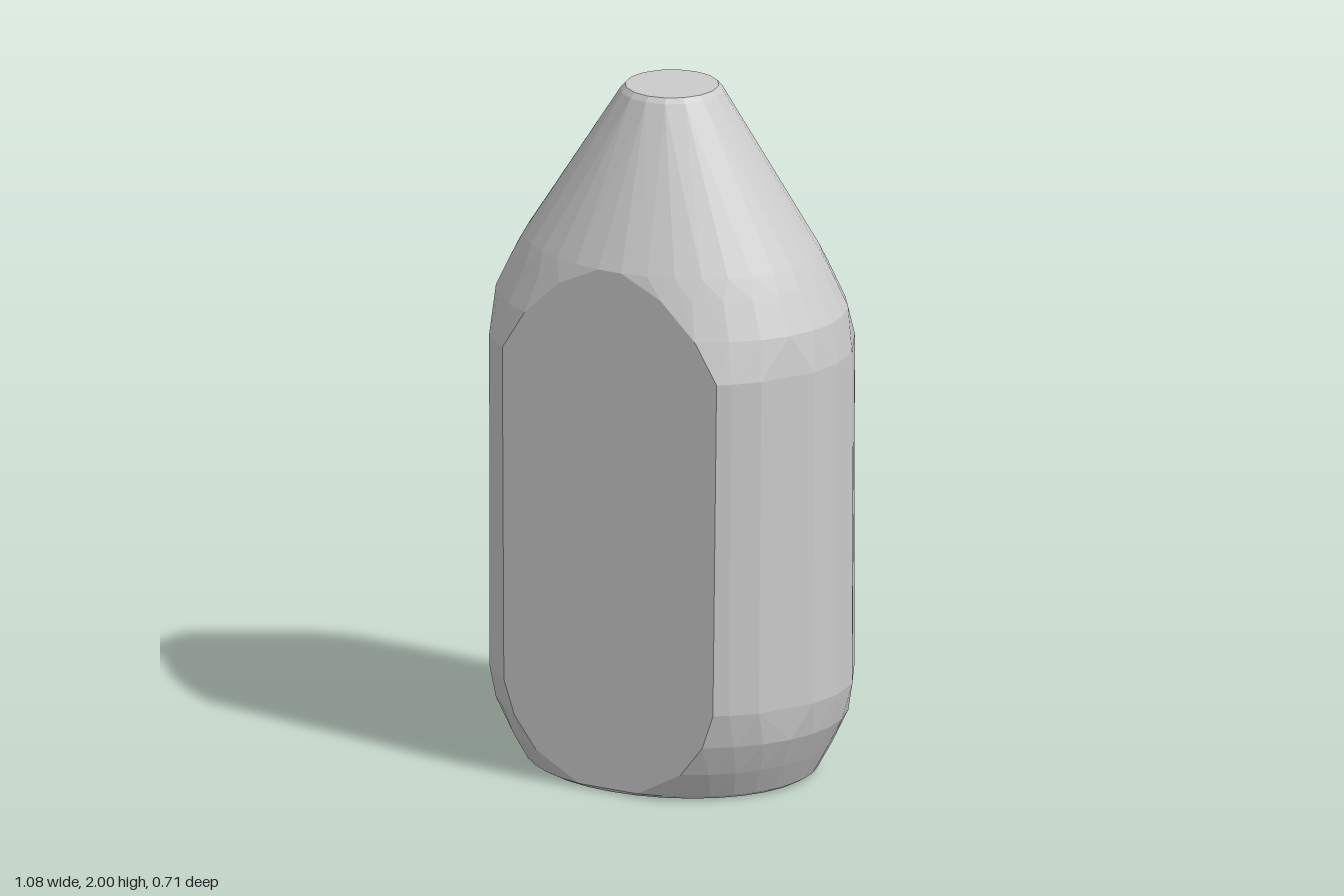
import * as THREE from 'three';
import { ConvexGeometry } from 'three/addons/geometries/ConvexGeometry.js';

// Rings of the body: height, half width, half depth before the side cuts, steps per quarter
const RINGS = [
  [0, 0.41, 0.345, 8],
  [0.012, 0.43, 0.366, 8],
  [0.09, 0.472, 0.412, 6],
  [0.18, 0.517, 0.442, 5],
  [0.28, 0.541, 0.458, 0],
  [1.26, 0.541, 0.458, 0],
  [1.375, 0.522, 0.412, 5],
  [1.48, 0.47, 0.372, 6],
  [1.54, 0.436, 0.349, 8],
  [1.985, 0.146, 0.146, 4],
  [2, 0.133, 0.133, 4],
];

// Uneven facet spacing of the straight middle section
const MIDDLE_STEPS = [0, 0.27, 0.7, 0.9, 1];

// Depth of the flat front and back, drawn in slightly towards the top
const flatDepth = (y) => 0.357 - 0.006 * y;

// One oval ring, cut off by the two flats
function ringPoints([y, a, b, steps]) {
  const limit = flatDepth(y);
  const end = b > limit ? Math.asin(limit / b) : Math.PI / 2;
  const us = steps
    ? Array.from({ length: steps + 1 }, (_, i) => i / steps)
    : MIDDLE_STEPS;
  const points = [];
  for (const u of us) {
    const x = a * Math.cos(u * end);
    const z = b * Math.sin(u * end);
    for (const sx of [-1, 1]) {
      for (const sz of [-1, 1]) points.push(new THREE.Vector3(sx * x, y, sz * z));
    }
  }
  return points;
}

export function createModel() {
  const group = new THREE.Group();
  group.name = 'taperedBlock';

  // Faceted solid: rounded base, straight middle, conical top and two flat faces
  const body = new THREE.Mesh(
    new ConvexGeometry(RINGS.flatMap(ringPoints)),
    new THREE.MeshStandardMaterial({ color: 0xcccccc, flatShading: true })
  );
  body.name = 'body';
  group.add(body);
  return group;
}
